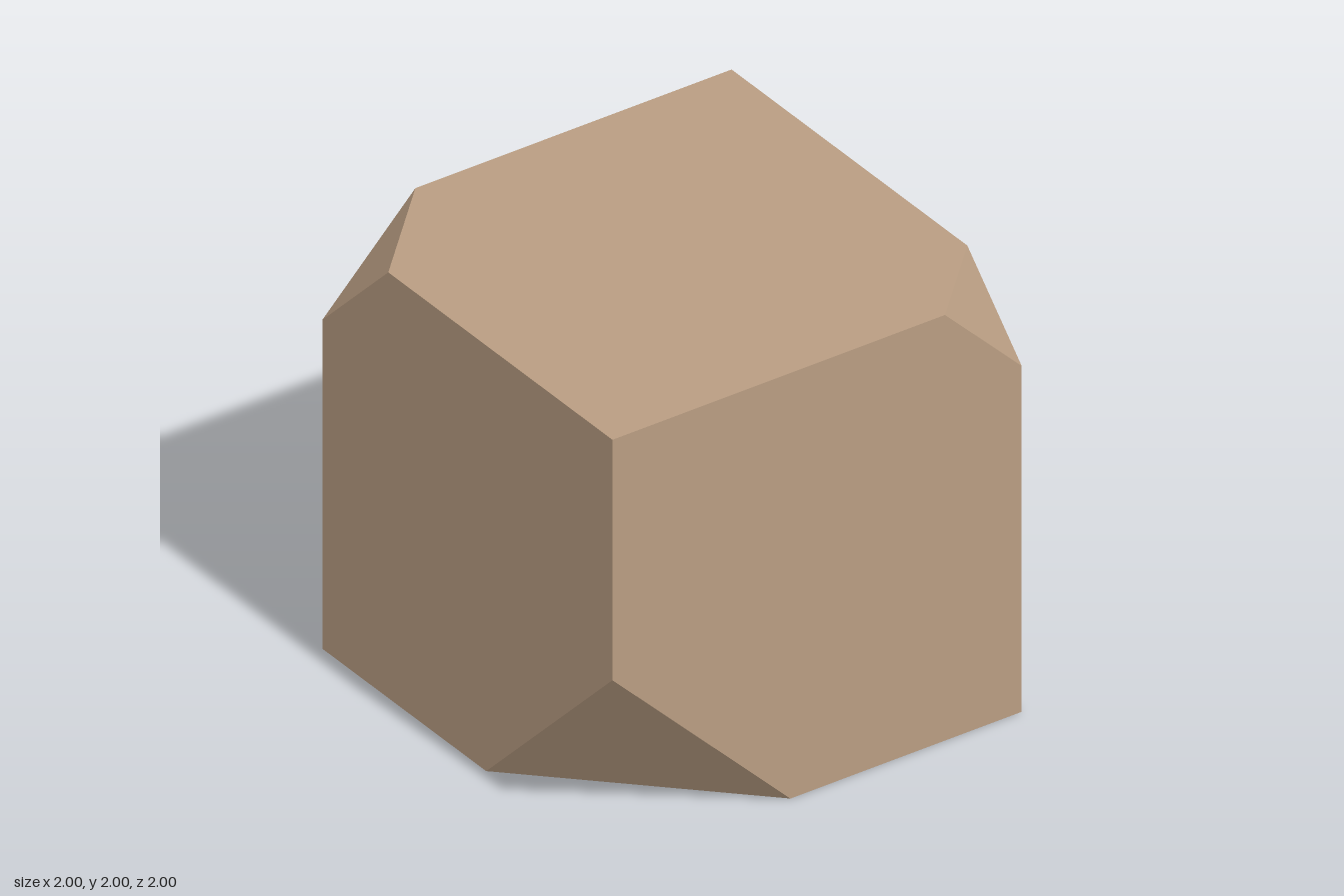
import * as THREE from 'three';
import { ConvexGeometry } from 'three/addons/geometries/ConvexGeometry.js';

export function createModel() {
  const stone = new THREE.MeshStandardMaterial({ color: 0xb99d82 });
  stone.name = 'tanStone';

  // Alternate corners of the cube, each cut at a distance along its three edges
  const cuts = [
    { corner: [1, -1, 1], size: 0.87 },
    { corner: [-1, 1, 1], size: 0.455 },
    { corner: [1, 1, -1], size: 0.375 },
    { corner: [-1, -1, -1], size: 1.2 },
  ];

  const points = [];
  for (const { corner, size } of cuts) {
    // Opposite corner stays whole
    points.push(new THREE.Vector3(...corner).negate());
    // Three points where the cut crosses the edges
    for (let axis = 0; axis < 3; axis++) {
      const p = [...corner];
      p[axis] -= corner[axis] * size;
      points.push(new THREE.Vector3(...p));
    }
  }

  const block = new THREE.Mesh(new ConvexGeometry(points), stone);
  block.name = 'cutCornerBlock';
  block.position.y = 1;

  const model = new THREE.Group();
  model.name = 'cutCornerCube';
  model.add(block);
  return model;
}
